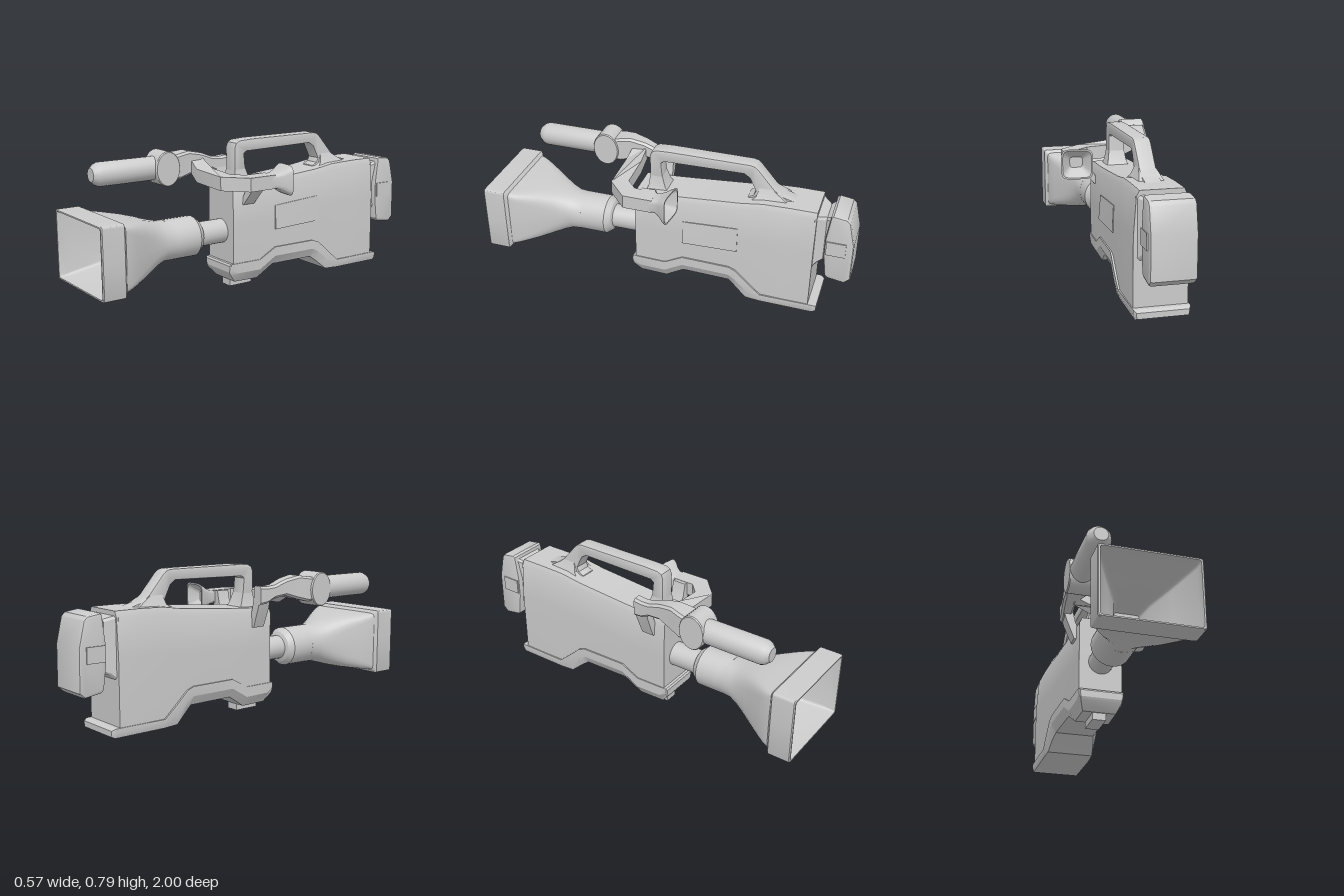
import * as THREE from 'three';
import { toCreasedNormals } from 'three/addons/utils/BufferGeometryUtils.js';

const CX = -0.037; // centre line of the camera body
const material = new THREE.MeshStandardMaterial({ color: 0xcccccc });

// Joins equal-sized rings of [x, y, z] points into a closed skin, facing outward
function loft(rings, crease = 0.55) {
  const n = rings[0].length, tris = [];
  const mid = r => [0, 1, 2].map(k => r.reduce((s, p) => s + p[k], 0) / n);
  const first = mid(rings[0]), last = mid(rings.at(-1));
  for (let j = 0; j < n; j++) {
    const k = (j + 1) % n;
    for (let i = 0; i + 1 < rings.length; i++) {
      const a = rings[i], b = rings[i + 1];
      tris.push([a[j], a[k], b[k]], [a[j], b[k], b[j]]);
    }
    tris.push([first, rings[0][k], rings[0][j]], [last, rings.at(-1)[j], rings.at(-1)[k]]);
  }
  let volume = 0;
  for (const [a, b, c] of tris) {
    volume += a[0] * (b[1] * c[2] - b[2] * c[1]) + a[1] * (b[2] * c[0] - b[0] * c[2]) + a[2] * (b[0] * c[1] - b[1] * c[0]);
  }
  if (volume < 0) tris.forEach(t => t.reverse());
  const g = new THREE.BufferGeometry();
  g.setAttribute('position', new THREE.Float32BufferAttribute(tris.flat(2), 3));
  return toCreasedNormals(g, crease);
}

// Rounded section across z; power 2 is an ellipse, larger is squarer
function round(z, cx, cy, hx, hy, power = 2, skew = 0, n = 32) {
  return Array.from({ length: n }, (_, i) => {
    const a = i / n * Math.PI * 2, c = Math.cos(a), s = Math.sin(a);
    const f = v => Math.sign(v) * Math.abs(v) ** (2 / power);
    return [cx + hx * f(c), cy + hy * f(s), z + skew * f(c)];
  });
}

// Rectangular section across z with cut corners
function rect(z, x0, x1, y0, y1, c = 0.012) {
  return [[x0 + c, y0], [x1 - c, y0], [x1, y0 + c], [x1, y1 - c], [x1 - c, y1], [x0 + c, y1], [x0, y1 - c], [x0, y0 + c]]
    .map(([x, y]) => [x, y, z]);
}

// Rectangular section across y
const flat = (y, x0, x1, z0, z1) => [[x0, y, z0], [x1, y, z0], [x1, y, z1], [x0, y, z1]];

const shapeOf = pts => new THREE.Shape(pts.map(p => new THREE.Vector2(...p)));

// Side profile of [z, y] points extruded to a total width along x
function sideExtrude(pts, width, bevel) {
  const g = new THREE.ExtrudeGeometry(shapeOf(pts), {
    depth: width - 2 * bevel, bevelEnabled: true, bevelSize: bevel, bevelThickness: bevel, bevelOffset: -bevel, bevelSegments: 2,
  });
  g.rotateY(-Math.PI / 2).translate(CX + width / 2 - bevel, 0, 0);
  return toCreasedNormals(g, 0.6);
}

export function createModel() {
  const model = new THREE.Group();
  model.name = 'videoCamera';
  const add = (name, geometry) => {
    const mesh = new THREE.Mesh(geometry, material);
    mesh.name = name;
    model.add(mesh);
    return mesh;
  };
  const box = (name, x0, x1, y0, y1, z0, z1) =>
    add(name, new THREE.BoxGeometry(x1 - x0, y1 - y0, z1 - z0).translate((x0 + x1) / 2, (y0 + y1) / 2, (z0 + z1) / 2));

  // Body: tapered sections of z, top, bottom, half width above and below
  add('body', loft([
    [0.17, 0.557, 0.1, 0.1, 0.115], [0, 0.565, 0.1, 0.102, 0.119], [-0.1, 0.572, 0.15, 0.103, 0.121],
    [-0.4, 0.597, 0.15, 0.104, 0.127], [-0.52, 0.615, 0.05, 0.105, 0.13], [-0.66, 0.62, 0.04, 0.107, 0.134],
    [-0.8, 0.62, 0.03, 0.107, 0.134],
  ].map(([z, t, b, ht, hb]) =>
    [[-hb, b], [hb, b], [hb, t - 0.22], [ht + 0.014, t - 0.03], [ht, t], [-ht, t], [-ht - 0.014, t - 0.03], [-hb, t - 0.22]]
      .map(([x, y]) => [CX + x, y, z]))));

  // Base: arched skid following the underside
  add('base', loft([
    [0.192, 0.135, 0.1, 0.112, 0.108], [0.185, 0.145, 0.085, 0.118, 0.108], [0.145, 0.145, 0.038, 0.121, 0.088],
    [0, 0.145, 0.035, 0.124, 0.09], [-0.1, 0.2, 0.1, 0.128, 0.1], [-0.36, 0.2, 0.1, 0.134, 0.108],
    [-0.4, 0.185, 0.07, 0.137, 0.118], [-0.46, 0.13, 0.018, 0.139, 0.128], [-0.54, 0.06, 0.014, 0.139, 0.132],
    [-0.825, 0.06, 0.012, 0.139, 0.132], [-0.845, 0.05, 0.02, 0.128, 0.124],
  ].map(([z, t, b, ht, hb]) => {
    const m = b + (t - b) * 0.5;
    return [[-hb, b], [hb, b], [ht, m], [ht, t], [-ht, t], [-ht, m]].map(([x, y]) => [CX + x, y, z]);
  }), 0.4));
  box('mountFoot', -0.072, 0, 0, 0.06, 0, 0.14);

  // Raised panel on the left side
  add('sidePanel', loft([
    [[0.07, 0.31, -0.4], [0.07, 0.3, -0.1], [0.096, 0.3, -0.1], [0.096, 0.31, -0.4]],
    [[0.06, 0.45, -0.4], [0.06, 0.43, -0.1], [0.086, 0.43, -0.1], [0.09, 0.45, -0.4]],
  ]));

  // Carrying handle with flared feet
  add('handle', sideExtrude([
    [0.105, 0.54], [0.108, 0.75], [0.098, 0.775], [0.075, 0.787], [0, 0.791], [-0.43, 0.791], [-0.455, 0.785],
    [-0.475, 0.768], [-0.56, 0.67], [-0.6, 0.638], [-0.67, 0.62], [-0.67, 0.58], [-0.42, 0.58], [-0.425, 0.605],
    [-0.455, 0.62], [-0.465, 0.645], [-0.43, 0.715], [-0.4, 0.735], [0.03, 0.727], [0.046, 0.715], [0.03, 0.54],
  ], 0.084, 0.006));
  add('handleFrontFoot', loft([flat(0.55, -0.1, 0.026, 0, 0.12), flat(0.58, -0.088, 0.014, 0.02, 0.112), flat(0.64, -0.078, 0.004, 0.04, 0.105)]));
  add('handleRearFoot', loft([flat(0.59, -0.115, 0.041, -0.66, -0.43), flat(0.62, -0.098, 0.024, -0.63, -0.47), flat(0.67, -0.078, 0.004, -0.55, -0.485)]));

  // Battery on a narrow neck, with a latch on each side
  add('batteryNeck', loft([
    rect(-0.79, -0.16, 0.086, 0.28, 0.6), rect(-0.82, -0.135, 0.061, 0.31, 0.59),
    rect(-0.845, -0.115, 0.041, 0.32, 0.58), rect(-0.88, -0.14, 0.066, 0.3, 0.6),
  ]));
  add('battery', sideExtrude([
    [-0.868, 0.61], [-0.88, 0.618], [-0.95, 0.608], [-0.968, 0.59], [-0.998, 0.46], [-1, 0.25], [-0.97, 0.222],
    [-0.88, 0.235], [-0.865, 0.25], [-0.85, 0.37], [-0.85, 0.47],
  ], 0.224, 0.014));
  for (const s of [-1, 1]) {
    const x = CX + s * 0.108;
    box('batteryLatch', x - 0.01, x + 0.01, 0.385, 0.465, -0.96, -0.86);
  }

  // Lens barrel
  const lens = new THREE.LatheGeometry(
    [[0, 0.15], [0.065, 0.15], [0.065, 0.325], [0.085, 0.333], [0.107, 0.362], [0.107, 0.53], [0, 0.53]].map(p => new THREE.Vector2(...p)), 24);
  add('lensBarrel', toCreasedNormals(lens.rotateX(Math.PI / 2).scale(1, 1, 1).translate(CX, 0.307, 0), 0.5));

  // Lens hood: round at the back, rectangular in front, funnel inside
  const hood = [
    [0.5, 0.107, 0.106, 2], [0.56, 0.11, 0.105, 2.2], [0.61, 0.123, 0.118, 2.7], [0.66, 0.143, 0.133, 3.5], [0.72, 0.172, 0.148, 5],
    [0.79, 0.208, 0.158, 8], [0.835, 0.228, 0.163, 12], [0.865, 0.234, 0.166, 18], [0.88, 0.25, 0.182, 40], [0.995, 0.25, 0.182, 40],
    [1, 0.246, 0.179, 40], [1, 0.238, 0.172, 40], [0.95, 0.234, 0.168, 30], [0.82, 0.16, 0.118, 16], [0.7, 0.09, 0.075, 12], [0.62, 0.064, 0.054, 10],
  ];
  add('lensHood', loft(hood.map(([z, hx, hy, p]) => round(z, CX, 0.307, hx, hy, p)), 0.5));

  // Microphone with chamfered tip, held by an oval drum
  const mic = new THREE.LatheGeometry(
    [[0, 0.46], [0.063, 0.46], [0.063, 0.79], [0.055, 0.81], [0.036, 0.832], [0, 0.832]].map(p => new THREE.Vector2(...p)), 24);
  add('microphone', toCreasedNormals(mic.rotateX(Math.PI / 2).translate(-0.222, 0.65, 0), 0.5));
  const drum = new THREE.LatheGeometry(
    [[0, -0.068], [0.088, -0.068], [0.093, -0.062], [0.093, 0.062], [0.088, 0.068], [0, 0.068]].map(p => new THREE.Vector2(...p)), 28);
  add('microphoneHolder', toCreasedNormals(drum.rotateZ(Math.PI / 2).scale(1, 1, 0.78).translate(-0.218, 0.648, 0.42), 0.5));

  // Curved arm from the holder back to the right strut
  add('microphoneArm', loft([
    rect(0.37, -0.278, -0.155, 0.59, 0.715), rect(0.34, -0.275, -0.158, 0.585, 0.72), rect(0.28, -0.26, -0.165, 0.6, 0.728),
    rect(0.2, -0.247, -0.17, 0.625, 0.712), rect(0.13, -0.238, -0.172, 0.615, 0.685), rect(0.08, -0.233, -0.172, 0.59, 0.68),
    rect(0.035, -0.23, -0.172, 0.585, 0.685),
  ]));
  add('rightStrut', loft([flat(0.64, -0.228, -0.175, 0.035, 0.105), flat(0.56, -0.205, -0.16, 0.035, 0.11), flat(0.46, -0.165, -0.12, 0.04, 0.11)]));
  add('leftStrut', loft([flat(0.63, 0.13, 0.18, 0.03, 0.105), flat(0.565, 0.115, 0.175, 0.03, 0.105), flat(0.46, 0.055, 0.085, 0.04, 0.11)]));

  // Viewfinder bar crossing in front of the handle, raised toward its right end
  const bar = new THREE.ExtrudeGeometry(shapeOf([
    [-0.19, 0.19], [-0.1, 0.195], [0.09, 0.195], [0.15, 0.14], [0.15, 0.02], [0.24, 0.02], [0.24, 0.175],
    [0.125, 0.28], [-0.1, 0.28], [-0.19, 0.265],
  ]), { depth: 0.072, bevelEnabled: false }).rotateX(Math.PI / 2).translate(0, 0.632, 0);
  const p = bar.attributes.position;
  for (let i = 0; i < p.count; i++) {
    const x = p.getX(i);
    p.setY(i, p.getY(i) + (x < -0.1 ? (-0.1 - x) * 0.5 : 0) + (x < 0 ? 0.01 : 0));
  }
  add('viewfinderBar', toCreasedNormals(bar, 0.4));

  // Flared, hollow eyecup
  const cup = [
    [0.04, 0.195, 0.045, 0.036, 6, 0], [0, 0.196, 0.047, 0.038, 6, 0], [-0.03, 0.199, 0.06, 0.052, 5, 0.004],
    [-0.055, 0.202, 0.075, 0.07, 5, 0.008], [-0.074, 0.203, 0.083, 0.08, 5, 0.01], [-0.074, 0.203, 0.075, 0.072, 5, 0.01],
    [-0.04, 0.2, 0.05, 0.046, 5, 0.004], [-0.015, 0.197, 0.034, 0.028, 5, 0],
  ];
  add('eyecup', loft(cup.map(([z, x, hx, hy, pw, skew]) => round(z, x, 0.595, hx, hy, pw, skew)), 0.6));

  return model;
}
